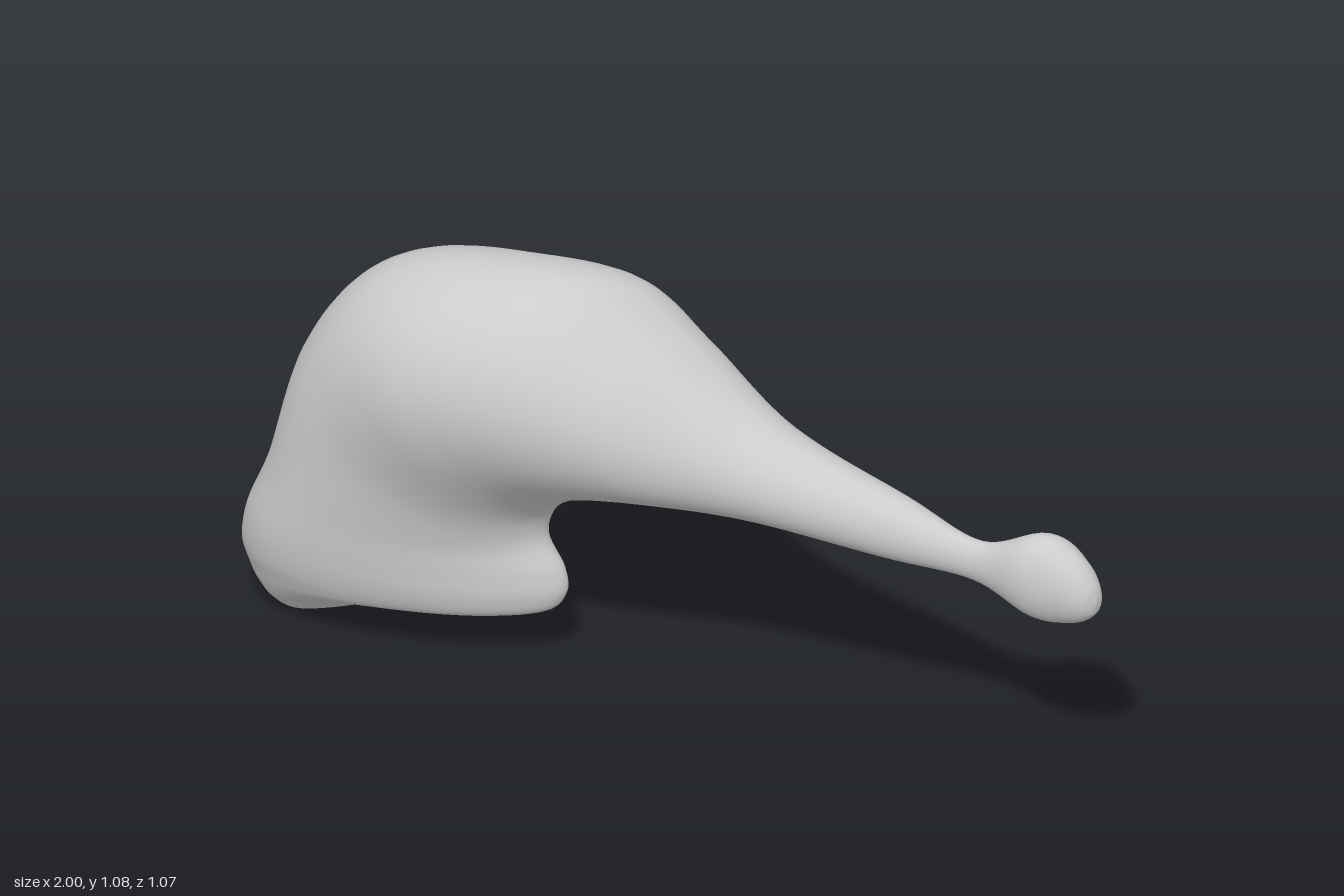
import * as THREE from 'three';

// Cross-sections from the knob tip, along the tail, round the dome to the foot:
// [inner x, inner y, outer x, outer y, half depth]
const SECTIONS = [
  [0.998, 0.555, 0.998, 0.565, 0],
  [0.985, 0.52, 0.985, 0.605, 0.03],
  [0.94, 0.49, 0.94, 0.66, 0.056],
  [0.85, 0.476, 0.85, 0.695, 0.075],
  [0.7, 0.527, 0.7, 0.63, 0.036],
  [0.5, 0.53, 0.5, 0.69, 0.072],
  [0.2, 0.547, 0.2, 0.79, 0.13],
  [0, 0.54, -0.04, 0.965, 0.22],
  [-0.16, 0.505, -0.22, 1.073, 0.265],
  [-0.25, 0.46, -0.48, 1.067, 0.25],
  [-0.3, 0.415, -0.68, 0.98, 0.224],
  [-0.318, 0.37, -0.82, 0.77, 0.205],
  [-0.315, 0.32, -0.905, 0.46, 0.195],
  [-0.28, 0.25, -0.97, 0.3, 0.19],
  [-0.274, 0.19, -0.997, 0.2, 0.175],
  [-0.315, 0.143, -0.99, 0.135, 0.152],
  [-0.45, 0.13, -0.965, 0.085, 0.132],
  [-0.62, 0.1, -0.925, 0.042, 0.106],
  [-0.73, 0.04, -0.88, 0.014, 0.066],
  [-0.8, 0.005, -0.84, 0.001, 0],
];

// The whole body leans diagonally: middle z for each x
const MIDDLE = new THREE.CubicInterpolant(
  [-1, -0.8, -0.6, -0.4, -0.2, 0, 0.2, 0.4, 0.7, 0.87, 1],
  [0.4, 0.37, 0.31, 0.23, 0.1, -0.01, -0.13, -0.23, -0.37, -0.445, -0.485], 1);
const middleZ = (x) => MIDDLE.evaluate(THREE.MathUtils.clamp(x, -1, 1))[0];

// Smooth curve through one edge of the sections
const edge = (pick) => new THREE.CatmullRomCurve3(
  SECTIONS.map((s) => new THREE.Vector3(...pick(s))), false, 'catmullrom', 0.5);

function loftBody(rows, sides) {
  const inner = edge((s) => [s[0], s[1], s[4]]); // z carries the half depth
  const outer = edge((s) => [s[2], s[3], 0]);
  const positions = [];
  const index = [];
  for (let i = 0; i <= rows; i++) {
    const u = i / rows;
    const a = inner.getPoint(u);
    const b = outer.getPoint(u);
    const dome = Math.exp(-(((u - 0.5) / 0.12) ** 2));
    const low = THREE.MathUtils.smoothstep(u, 0.5, 0.7);
    for (let j = 0; j < sides; j++) {
      const t = (j / sides) * Math.PI * 2;
      const c = Math.cos(t);
      const s = Math.sin(t);
      const f = (1 + c) / 2;
      const x = a.x + (b.x - a.x) * f;
      const y = a.y + (b.y - a.y) * f;
      // dome: hollow back, rims bent backwards; below: narrow bump, wide foot
      const hollow = s < 0 ? 1 + dome * (0.2 - 0.38 * s ** 4) : 1;
      const depth = a.z * s * hollow * (1 + 0.32 * low * c);
      const lean = 0.05 * dome * c * c + 0.06 * low * (1 - f);
      positions.push(x, y, middleZ(x) + depth - lean);
      if (i < rows) {
        const p = i * sides + j;
        const q = i * sides + ((j + 1) % sides);
        index.push(p, p + sides, q, q, p + sides, q + sides);
      }
    }
  }
  const geometry = new THREE.BufferGeometry();
  geometry.setAttribute('position', new THREE.Float32BufferAttribute(positions, 3));
  geometry.setIndex(index);
  geometry.computeVertexNormals();
  return geometry;
}

export function createModel() {
  const group = new THREE.Group();
  group.name = 'organicForm';
  const material = new THREE.MeshStandardMaterial({ color: 0xcccccc });
  // One continuous skin: knob, tail, dome, side bump and foot
  const body = new THREE.Mesh(loftBody(171, 56), material);
  body.name = 'body';
  group.add(body);
  return group;
}
